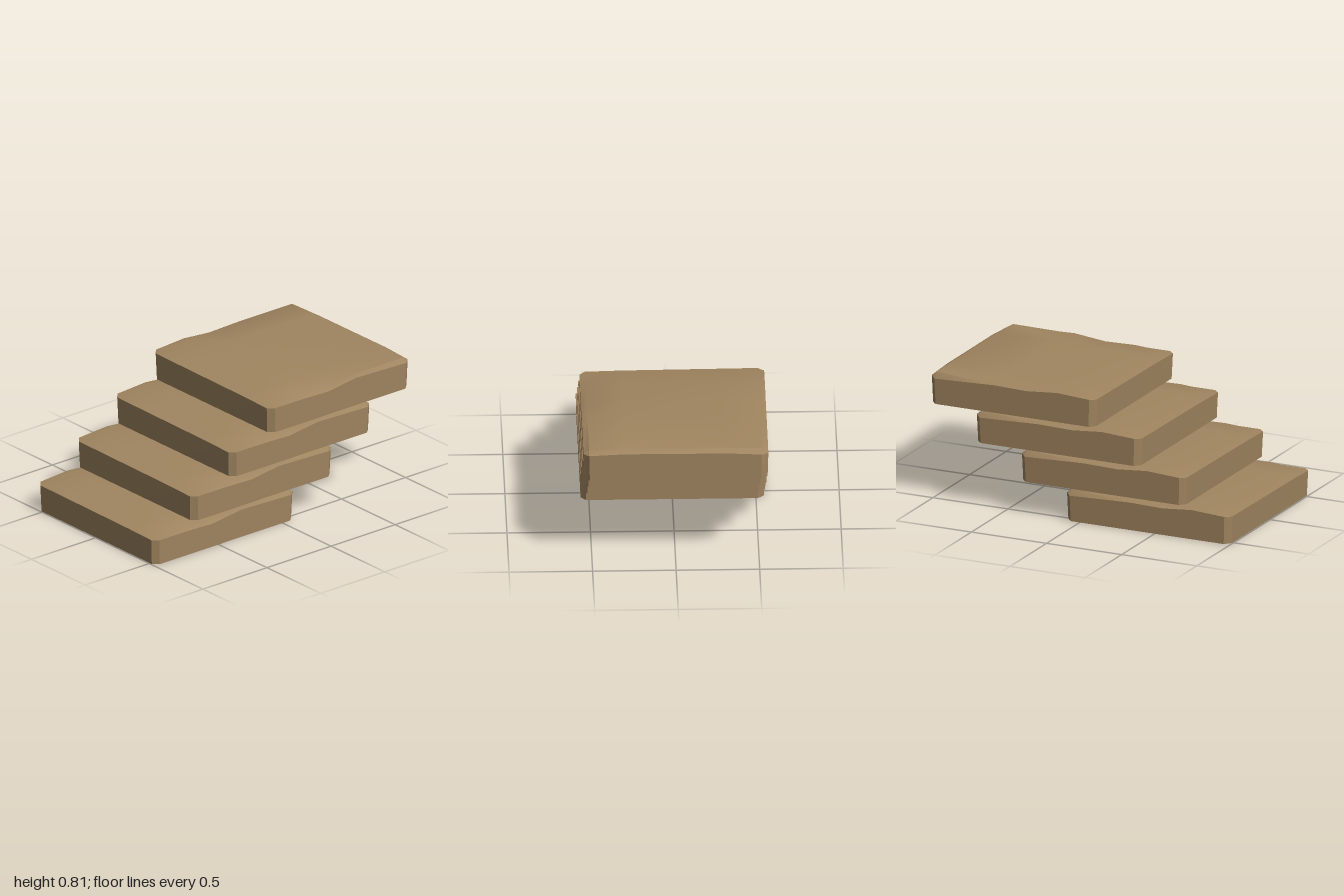
import * as THREE from 'three';
import { toCreasedNormals } from 'three/addons/utils/BufferGeometryUtils.js';

// Worn top surface: heights by row (front to back) and column (-x to +x)
const XS = [-0.553, -0.515, -0.31, 0.31, 0.52, 0.553];
const ZS = [0.55, 0.515, 0.3, 0.1, -0.12, -0.515, -0.55];
const HEIGHTS = [
  [0.168, 0.17, 0.168, 0.163, 0.158, 0.157],
  [0.172, 0.175, 0.173, 0.168, 0.161, 0.158],
  [0.185, 0.19, 0.193, 0.193, 0.175, 0.158],
  [0.168, 0.187, 0.197, 0.196, 0.170, 0.152],
  [0.174, 0.195, 0.2, 0.2, 0.188, 0.18],
  [0.16, 0.195, 0.198, 0.198, 0.192, 0.168],
  [0.158, 0.168, 0.178, 0.18, 0.17, 0.165],
];

function slabGeometry() {
  const nx = XS.length, nz = ZS.length;
  const at = (i, j) => j * nx + i;
  const pos = [], idx = [];
  const quad = (a, b, c, d) => idx.push(a, b, c, a, c, d);

  // Top grid, with the four corners pulled in to a chamfer
  ZS.forEach((z, j) => XS.forEach((x, i) => {
    const corner = (i === 0 || i === nx - 1) && (j === 0 || j === nz - 1);
    const inset = corner ? 0.0175 : 0;
    pos.push(x - Math.sign(x) * inset, HEIGHTS[j][i], z - Math.sign(z) * inset);
  }));
  for (let j = 0; j < nz - 1; j++)
    for (let i = 0; i < nx - 1; i++)
      quad(at(i, j), at(i + 1, j), at(i + 1, j + 1), at(i, j + 1));

  // Rim loop, anticlockwise from above
  const rim = [];
  for (let i = 0; i < nx - 1; i++) rim.push(at(i, 0));
  for (let j = 0; j < nz - 1; j++) rim.push(at(nx - 1, j));
  for (let i = nx - 1; i > 0; i--) rim.push(at(i, nz - 1));
  for (let j = nz - 1; j > 0; j--) rim.push(at(0, j));

  // Slightly tapered walls and flat underside
  const base = pos.length / 3, n = rim.length;
  rim.forEach((r) => pos.push(pos[r * 3] * 0.992, 0, pos[r * 3 + 2] * 0.988));
  pos.push(0, 0, 0);
  for (let k = 0; k < n; k++) {
    const m = (k + 1) % n;
    quad(base + k, base + m, rim[m], rim[k]);
    idx.push(base + n, base + m, base + k);
  }

  const geo = new THREE.BufferGeometry();
  geo.setAttribute('position', new THREE.Float32BufferAttribute(pos, 3));
  geo.setIndex(idx);
  return toCreasedNormals(geo, 0.5);
}

export function createModel() {
  const group = new THREE.Group();
  group.name = 'stoneSteps';
  const geo = slabGeometry();
  const stone = new THREE.MeshStandardMaterial({ color: 0xa08560 });

  // Four identical slabs climbing towards the back
  for (let s = 0; s < 4; s++) {
    const step = new THREE.Mesh(geo, stone);
    step.name = `step${s + 1}`;
    step.position.set(0, s * 0.203, 0.45 - s * 0.3);
    group.add(step);
  }
  return group;
}
